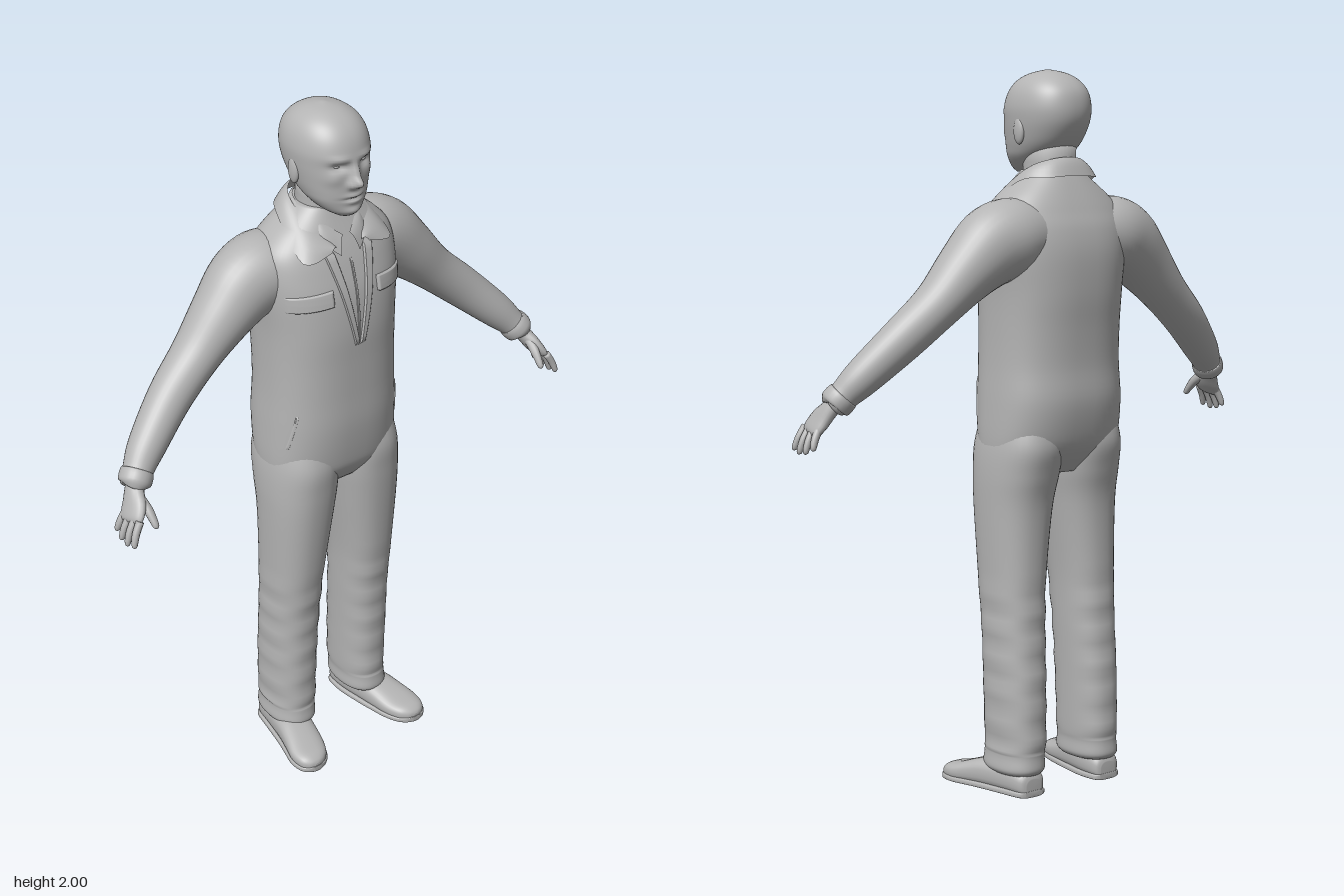
import * as THREE from 'three';

const grey = new THREE.MeshStandardMaterial({ color: 0xb4b4b4, side: THREE.DoubleSide });
grey.name = 'plainGrey';
const V = (x, y, z) => new THREE.Vector3(x, y, z);

// Catmull-Rom smoothing of rows of numbers
function smooth(rows, steps) {
  const out = [], at = i => rows[Math.max(0, Math.min(rows.length - 1, i))];
  for (let i = 0; i < rows.length - 1; i++) for (let s = 0; s < steps; s++) {
    const t = s / steps, [a, b, c, d] = [at(i - 1), at(i), at(i + 1), at(i + 2)];
    out.push(b.map((_, k) => 0.5 * (2 * b[k] + (c[k] - a[k]) * t
      + (2 * a[k] - 5 * b[k] + 4 * c[k] - d[k]) * t * t
      + (3 * b[k] - a[k] - 3 * c[k] + d[k]) * t * t * t)));
  }
  out.push(rows[rows.length - 1]);
  return out;
}

// Unit superellipse point
function oval(j, n, e) {
  const a = j / n * Math.PI * 2, c = Math.cos(a), s = Math.sin(a);
  return [Math.sign(c) * Math.abs(c) ** (2 / e), Math.sign(s) * Math.abs(s) ** (2 / e)];
}

// Closed skin over a list of point rings
function loft(rings) {
  const n = rings[0].length, pos = [], idx = [];
  rings.forEach(r => r.forEach(p => pos.push(p.x, p.y, p.z)));
  for (let i = 0; i < rings.length - 1; i++) for (let j = 0; j < n; j++) {
    const k = (j + 1) % n, a = i * n + j, b = i * n + k;
    idx.push(a, b, a + n, b, b + n, a + n);
  }
  [0, rings.length - 1].forEach((r, end) => {
    const m = rings[r].reduce((s, p) => s.add(p), V(0, 0, 0)).divideScalar(n);
    const c = pos.length / 3;
    pos.push(m.x, m.y, m.z);
    for (let j = 0; j < n; j++) {
      const a = r * n + j, b = r * n + (j + 1) % n;
      if (end) idx.push(a, b, c); else idx.push(b, a, c);
    }
  });
  return finish(pos, idx);
}

function finish(pos, idx) {
  const g = new THREE.BufferGeometry();
  g.setAttribute('position', new THREE.Float32BufferAttribute(pos, 3));
  g.setIndex(idx);
  g.computeVertexNormals();
  return g;
}

// Horizontal rings from rows [y, xMin, xMax, zFront, zBack]
const flatRings = (rows, n, e) => rows.map(([y, x0, x1, f, b]) =>
  Array.from({ length: n }, (_, j) => {
    const [c, s] = oval(j, n, e);
    return V((x0 + x1) / 2 + c * (x1 - x0) / 2, y, (f + b) / 2 - s * (f - b) / 2);
  }));

// Limb along a path, rows [x, y, z, halfWidth, halfDepth]
function limb(rows, n, steps) {
  const r = smooth(rows, steps);
  return loft(r.map((p, i) => {
    const q = r[Math.max(0, i - 1)], t = r[Math.min(r.length - 1, i + 1)];
    const d = V(t[0] - q[0], t[1] - q[1], t[2] - q[2]).normalize();
    const v = V(0, 0, 1).addScaledVector(d, -d.z).normalize(), u = v.clone().cross(d);
    return Array.from({ length: n }, (_, j) => {
      const [c, s] = oval(j, n, 2);
      return V(p[0], p[1], p[2]).addScaledVector(u, c * p[3]).addScaledVector(v, s * p[4]);
    });
  }));
}

// Grid surface from f(u, v)
function grid(f, nu, nv) {
  const pos = [], idx = [];
  for (let i = 0; i <= nv; i++) for (let j = 0; j <= nu; j++) pos.push(...f(j / nu, i / nv));
  for (let i = 0; i < nv; i++) for (let j = 0; j < nu; j++) {
    const a = i * (nu + 1) + j, c = a + nu + 1;
    idx.push(a, a + 1, c, a + 1, c + 1, c);
  }
  return finish(pos, idx);
}

const TORSO = smooth([
  [0.9, 0.17, 0.08, -0.1], [0.95, 0.2, 0.115, -0.14], [1.0, 0.206, 0.128, -0.165],
  [1.1, 0.203, 0.138, -0.184], [1.2, 0.198, 0.138, -0.18], [1.3, 0.197, 0.138, -0.184],
  [1.4, 0.2, 0.138, -0.192], [1.5, 0.21, 0.127, -0.192], [1.57, 0.212, 0.107, -0.18],
  [1.62, 0.2, 0.088, -0.16], [1.66, 0.165, 0.07, -0.142], [1.7, 0.115, 0.052, -0.122],
  [1.73, 0.08, 0.04, -0.105]], 5);
const E = 2.5;

// Height of the chest surface, for details that lie on it
function chestZ(x, y) {
  const i = Math.max(1, TORSO.findIndex(r => r[0] >= y)), a = TORSO[i - 1], b = TORSO[i];
  const t = (y - a[0]) / (b[0] - a[0]), [, w, f, k] = a.map((v, m) => v + (b[m] - v) * t);
  return (f + k) / 2 + (f - k) / 2 * Math.max(0, 1 - Math.abs(x / w) ** E) ** (1 / E);
}

// Raised cloth patch lying on the chest, corners in x, y
function patch(bl, br, tr, tl, lift = 0.007) {
  return grid((u, v) => {
    const mix = k => (bl[k] * (1 - u) + br[k] * u) * (1 - v) + (tl[k] * (1 - u) + tr[k] * u) * v;
    const edge = u === 0 || u === 1 || v === 0 || v === 1;
    return [mix(0), mix(1), chestZ(mix(0), mix(1)) + (edge ? -0.002 : lift)];
  }, 20, 20);
}

// Collar band between two half paths, mirrored round the neck
function collar(top, low) {
  const full = h => smooth([...h.slice(1).reverse().map(([x, y, z]) => [-x, y, z]), ...h], 6);
  const a = full(top), b = full(low);
  return grid((u, v) => {
    const i = Math.round(u * (a.length - 1)), puff = 0.008 * Math.sin(Math.PI * v);
    const p = a[i].map((c, k) => c + (b[i][k] - c) * v);
    return [p[0], p[1] + puff, p[2]];
  }, a.length - 1, 6);
}

export function createModel() {
  const model = new THREE.Group();
  const add = (name, g) => {
    const m = new THREE.Mesh(g, grey);
    m.name = name;
    model.add(m);
  };
  const pair = (name, g) => {
    const r = g.clone().scale(-1, 1, 1);
    r.setIndex(Array.from(g.index.array).reverse());
    r.computeVertexNormals();
    add(name + 'Left', g);
    add(name + 'Right', r);
  };

  // Overalls: body, legs and sleeves
  add('torso', loft(flatRings(TORSO.map(([y, w, f, b]) => [y, -w, w, f, b]), 64, E)));
  const leg = smooth([
    [0.06, 0.074, 0.193, 0.058, -0.122], [0.075, 0.064, 0.202, 0.07, -0.132],
    [0.11, 0.064, 0.199, 0.067, -0.13], [0.15, 0.06, 0.2, 0.066, -0.132],
    [0.3, 0.056, 0.202, 0.07, -0.129], [0.45, 0.05, 0.203, 0.076, -0.119],
    [0.6, 0.042, 0.205, 0.092, -0.115], [0.8, 0.017, 0.211, 0.112, -0.12],
    [0.9, 0.003, 0.212, 0.12, -0.14], [0.98, 0.001, 0.206, 0.122, -0.156],
    [1.06, 0, 0.19, 0.1, -0.14]], 6);
  leg.forEach(r => { // soft cloth folds below the knee
    if (r[0] < 0.6 && r[0] > 0.12) {
      const w = 0.003 * Math.sin(r[0] * 70);
      r[2] += w; r[3] -= w; r[4] += w;
    }
  });
  pair('trouserLeg', loft(flatRings(leg, 40, 2.3)));
  pair('sleeve', limb([
    [0.1, 1.555, -0.06, 0.09, 0.1], [0.17, 1.55, -0.065, 0.108, 0.108],
    [0.235, 1.525, -0.062, 0.107, 0.1], [0.31, 1.465, -0.055, 0.086, 0.086],
    [0.4, 1.38, -0.047, 0.066, 0.07], [0.5, 1.293, -0.028, 0.06, 0.06],
    [0.6, 1.2, 0.008, 0.051, 0.051], [0.645, 1.153, 0.03, 0.041, 0.042],
    [0.665, 1.13, 0.04, 0.038, 0.041], [0.67, 1.124, 0.044, 0.028, 0.032]], 32, 5));
  pair('cuff', limb([[0.647, 1.152, 0.031, 0.043, 0.044], [0.655, 1.142, 0.036, 0.045, 0.047],
    [0.667, 1.127, 0.044, 0.043, 0.045], [0.669, 1.124, 0.045, 0.03, 0.034]], 28, 3));

  // Hands
  pair('palm', limb([[0.655, 1.145, 0.04, 0.024, 0.028], [0.675, 1.115, 0.055, 0.022, 0.03],
    [0.692, 1.085, 0.077, 0.02, 0.042], [0.708, 1.06, 0.09, 0.016, 0.042],
    [0.714, 1.05, 0.094, 0.008, 0.034]], 20, 4));
  for (let i = 0; i < 4; i++) {
    const z = 0.059 + i * 0.022, long = [0.8, 0.96, 1, 0.9][i], dz = (i - 1.2) * 0.007;
    pair('finger' + (i + 1), limb([[0, 0, 0, 0.011], [0.018, -0.03, 0.4, 0.0105],
      [0.028, -0.055, 0.8, 0.009], [0.031, -0.068, 1, 0.0065], [0.031, -0.072, 1, 0.001]].map(
      ([x, y, t, r]) => [0.706 + x * long, 1.066 + y * long, z + dz * t, r, r]), 10, 3));
  }
  pair('thumb', limb([[0.677, 1.11, 0.07, 0.014, 0.016], [0.672, 1.085, 0.108, 0.013, 0.014],
    [0.67, 1.063, 0.13, 0.011, 0.011], [0.669, 1.045, 0.144, 0.008, 0.008],
    [0.669, 1.04, 0.147, 0.001, 0.001]], 12, 4));

  // Shoes: rows [z, centreX, halfWidth, height]
  const shoe = smooth([[-0.124, 0.135, 0.025, 0.05], [-0.11, 0.136, 0.043, 0.07],
    [-0.05, 0.14, 0.052, 0.085], [0.03, 0.153, 0.055, 0.085], [0.08, 0.164, 0.057, 0.073],
    [0.13, 0.176, 0.058, 0.056], [0.17, 0.183, 0.047, 0.047], [0.19, 0.186, 0.028, 0.036],
    [0.197, 0.187, 0.008, 0.026]], 5);
  const along = (rows, e) => loft(rows.map(([z, x, w, h]) => Array.from({ length: 32 }, (_, j) => {
    const [c, s] = oval(j, 32, e);
    return V(x + c * w, h / 2 + s * h / 2, z);
  })));
  pair('shoe', along(shoe, 2.6));
  pair('sole', along(shoe.map(([z, x, w]) => [z * 1.01, x, w + 0.003, 0.018]), 5));

  // Head, with the face pushed out and in by soft bumps [x, y, depth, width, height]
  const head = loft(flatRings(smooth([[1.722, -0.03, 0.03, 0.1, 0.03],
    [1.738, -0.055, 0.055, 0.11, -0.02], [1.765, -0.078, 0.078, 0.113, -0.06],
    [1.79, -0.089, 0.089, 0.115, -0.095], [1.82, -0.097, 0.097, 0.115, -0.12],
    [1.86, -0.104, 0.104, 0.115, -0.14], [1.9, -0.106, 0.106, 0.114, -0.145],
    [1.94, -0.097, 0.097, 0.1, -0.136], [1.97, -0.077, 0.077, 0.074, -0.11],
    [1.99, -0.045, 0.045, 0.036, -0.072], [2.0, -0.005, 0.005, -0.012, -0.022]], 6), 120, 2.2));
  const bumps = [[0, 1.822, 0.03, 0.015, 0.016], [0, 1.85, 0.016, 0.012, 0.025],
    [0.017, 1.815, 0.008, 0.008, 0.009], [0.04, 1.867, -0.014, 0.022, 0.011],
    [0.04, 1.888, 0.006, 0.028, 0.009], [0, 1.784, 0.007, 0.026, 0.007],
    [0, 1.766, 0.007, 0.022, 0.007], [0, 1.775, -0.007, 0.03, 0.003],
    [0, 1.738, 0.008, 0.025, 0.012], [0.06, 1.835, 0.005, 0.02, 0.018]];
  const p = head.attributes.position;
  for (let i = 0; i < p.count; i++) if (p.getZ(i) > 0.02) {
    let z = p.getZ(i);
    for (const [x, y, d, w, h] of bumps)
      z += d * Math.exp(-(((Math.abs(p.getX(i)) - x) / w) ** 2) - ((p.getY(i) - y) / h) ** 2);
    p.setZ(i, z);
  }
  head.computeVertexNormals();
  add('head', head);
  add('neck', loft(flatRings([[1.6, -0.08, 0.08, 0.05, -0.1], [1.7, -0.073, 0.073, 0.048, -0.1],
    [1.75, -0.07, 0.07, 0.055, -0.1], [1.8, -0.072, 0.072, 0.05, -0.1]], 40, 2)));
  const ball = (x, y, z, sx, sy, sz) =>
    new THREE.SphereGeometry(1, 20, 14).scale(sx, sy, sz).translate(x, y, z);
  pair('eye', ball(0.04, 1.867, 0.083, 0.015, 0.007, 0.014));
  pair('ear', ball(0.099, 1.835, -0.015, 0.011, 0.037, 0.02));

  // Collars
  add('collar', collar(
    [[0, 1.765, -0.108], [0.06, 1.757, -0.09], [0.09, 1.735, -0.04], [0.08, 1.69, 0.035], [0.04, 1.635, 0.093]],
    [[0, 1.715, -0.137], [0.08, 1.71, -0.122], [0.128, 1.7, -0.05], [0.145, 1.617, 0.084], [0.062, 1.628, 0.1]]));
  add('shirtCollar', collar(
    [[0, 1.745, -0.1], [0.06, 1.74, -0.075], [0.076, 1.725, -0.02], [0.06, 1.7, 0.04], [0.012, 1.66, 0.078]],
    [[0, 1.72, -0.11], [0.075, 1.72, -0.08], [0.092, 1.705, -0.02], [0.075, 1.655, 0.065], [0.03, 1.61, 0.1]]));

  // Front opening, pocket flaps and hip pocket trim
  pair('lapel', patch([0.001, 1.35], [0.012, 1.35], [0.08, 1.63], [0.05, 1.63], 0.008));
  add('zip', patch([-0.003, 1.36], [0.003, 1.36], [0.003, 1.6], [-0.003, 1.6], 0.004));
  pair('pocketFlap', patch([0.07, 1.485], [0.188, 1.475], [0.188, 1.52], [0.07, 1.53]));
  pair('hipPocket', patch([0.186, 1.05], [0.19, 1.05], [0.17, 1.16], [0.166, 1.16], 0.004));
  return model;
}
